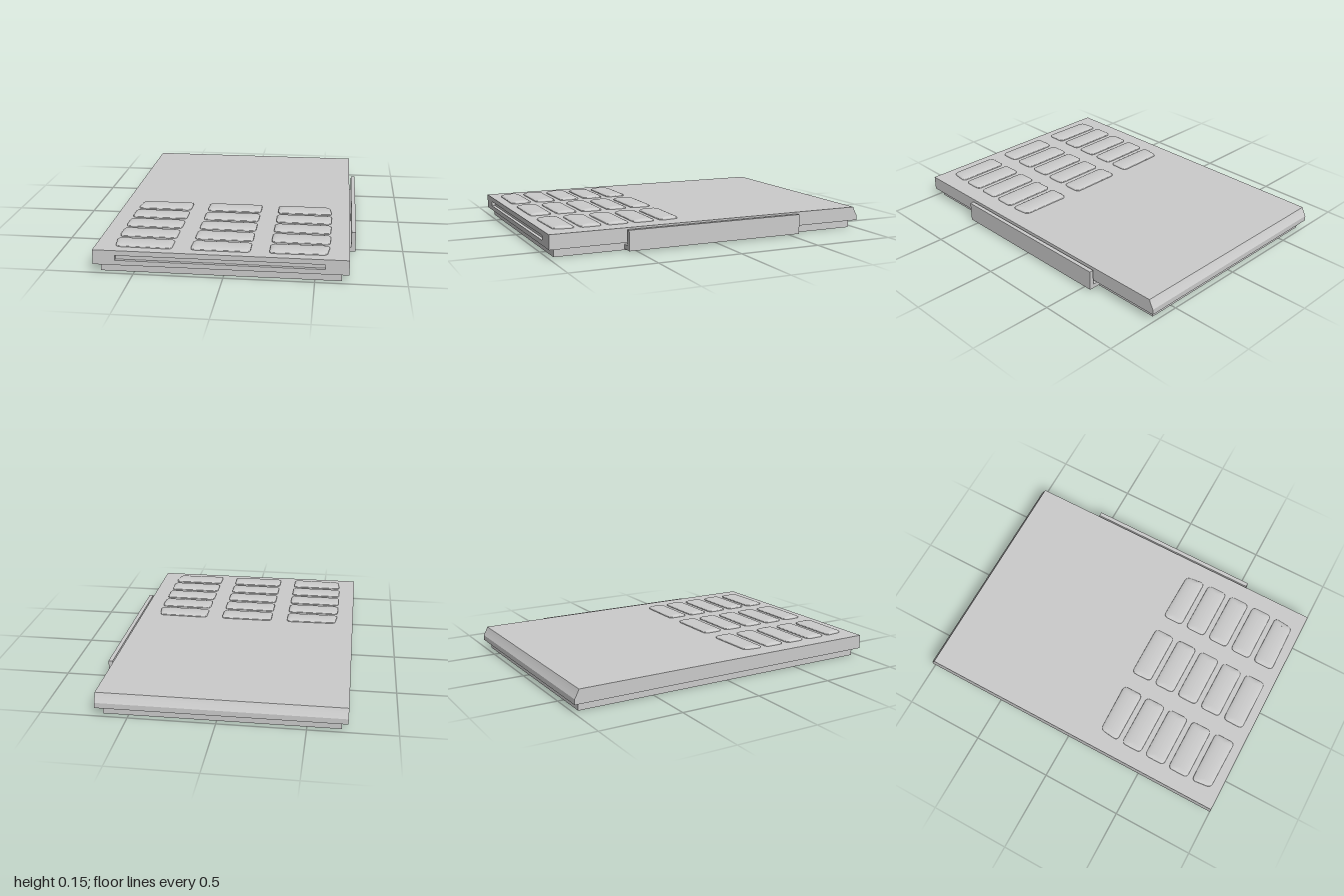
import * as THREE from 'three';

const grey = new THREE.MeshStandardMaterial({ color: 0xcccccc, side: THREE.DoubleSide });

function add(parent, name, geometry) {
  const mesh = new THREE.Mesh(geometry, grey);
  mesh.name = name;
  parent.add(mesh);
  return mesh;
}

// Box given by its two extreme corners
function box(x0, x1, y0, y1, z0, z1) {
  return new THREE.BoxGeometry(x1 - x0, y1 - y0, z1 - z0)
    .translate((x0 + x1) / 2, (y0 + y1) / 2, (z0 + z1) / 2);
}

// Polygon outline with every corner rounded
function roundedOutline(corners, r) {
  const shape = new THREE.Shape();
  corners.forEach((c, i) => {
    const prev = corners[(i + 3) % 4], next = corners[(i + 1) % 4];
    const a = c.clone().add(prev.clone().sub(c).setLength(r));
    const b = c.clone().add(next.clone().sub(c).setLength(r));
    if (i === 0) shape.moveTo(a.x, a.y); else shape.lineTo(a.x, a.y);
    shape.quadraticCurveTo(c.x, c.y, b.x, b.y);
  });
  shape.closePath();
  return shape.getPoints(6).slice(0, -1);
}

// Domed key: rounded outline lofted upward; cutX and cutZ name a skewed outer corner
function keyGeometry(cutX, cutZ) {
  const hw = 0.165, hd = 0.064;
  const corners = [[-1, -1], [1, -1], [1, 1], [-1, 1]].map(([sx, sy]) => {
    const cut = sx === cutX && sy === cutZ;
    return new THREE.Vector2(sx * (hw - (cut ? 0.014 : 0)), sy * (hd - (cut ? 0.006 : 0)));
  });
  const outline = roundedOutline(corners, 0.028);
  const n = outline.length, steps = 8;
  const pos = [], index = [];
  const ring = (y, shrink) => outline.forEach((p) =>
    pos.push(p.x * (1 - 0.22 * shrink), y, -p.y * (1 - shrink)));
  ring(-0.005, 0);
  for (let k = 0; k <= steps; k++) {
    const a = (k / steps) * Math.PI / 2;
    ring(0.005 + 0.012 * Math.sin(a), 1 - Math.cos(a));
  }
  for (let k = 0; k <= steps; k++) {
    for (let i = 0; i < n; i++) {
      const a = k * n + i, b = k * n + (i + 1) % n;
      index.push(a, b, a + n, b, b + n, a + n);
    }
  }
  const g = new THREE.BufferGeometry();
  g.setAttribute('position', new THREE.Float32BufferAttribute(pos, 3));
  g.setIndex(index);
  g.computeVertexNormals();
  return g;
}

export function createModel() {
  const model = new THREE.Group();
  model.name = 'keypadPanel';
  const left = 0.685, right = -0.725, low = 0.05, top = 0.135, frontZ = 0.98;

  // Main slab: side profile with a sloped, slightly bowed rear edge
  const profile = new THREE.Shape();
  profile.moveTo(-1, low);
  profile.lineTo(frontZ, low);
  profile.lineTo(frontZ, top);
  profile.lineTo(-0.973, top);
  profile.quadraticCurveTo(-0.982, 0.112, -1, 0.082);
  profile.closePath();
  add(model, 'body', new THREE.ExtrudeGeometry(profile,
    { depth: left - right, bevelEnabled: false, curveSegments: 6 })
    .rotateY(-Math.PI / 2).translate(left, 0, 0));

  // Front face with a long recessed slot
  const face = new THREE.Shape();
  face.moveTo(right, low);
  face.lineTo(left, low);
  face.lineTo(left, top);
  face.lineTo(right, top);
  face.closePath();
  const slot = new THREE.Path();
  slot.moveTo(-0.6, 0.078);
  slot.lineTo(-0.6, 0.106);
  slot.lineTo(0.555, 0.106);
  slot.lineTo(0.555, 0.078);
  slot.closePath();
  face.holes.push(slot);
  add(model, 'frontFace', new THREE.ExtrudeGeometry(face,
    { depth: 1 - frontZ, bevelEnabled: false }).translate(0, 0, frontZ));

  // Smaller plate underneath
  add(model, 'basePlate', box(-0.69, 0.647, 0, low, -0.965, 0.965));

  // L-shaped rail along the left side
  const rail = new THREE.Group();
  rail.name = 'sideRail';
  add(rail, 'railFoot', box(0.64, 0.7, 0.008, 0.034, -0.553, 0.553));
  add(rail, 'railWall', box(0.697, 0.722, 0.008, 0.127, -0.553, 0.553));
  model.add(rail);

  // Three columns of five keys; the four outermost have a skewed corner
  const keys = new THREE.Group();
  keys.name = 'keys';
  for (let row = 0; row < 5; row++) {
    for (let col = 0; col < 3; col++) {
      const cutZ = row === 0 ? 1 : row === 4 ? -1 : 0;
      const key = add(keys, `key${row * 3 + col + 1}`, keyGeometry(col - 1, cutZ));
      key.position.set(-0.022 + (col - 1) * 0.435, top, 0.237 + row * 0.161);
    }
  }
  model.add(keys);
  return model;
}
